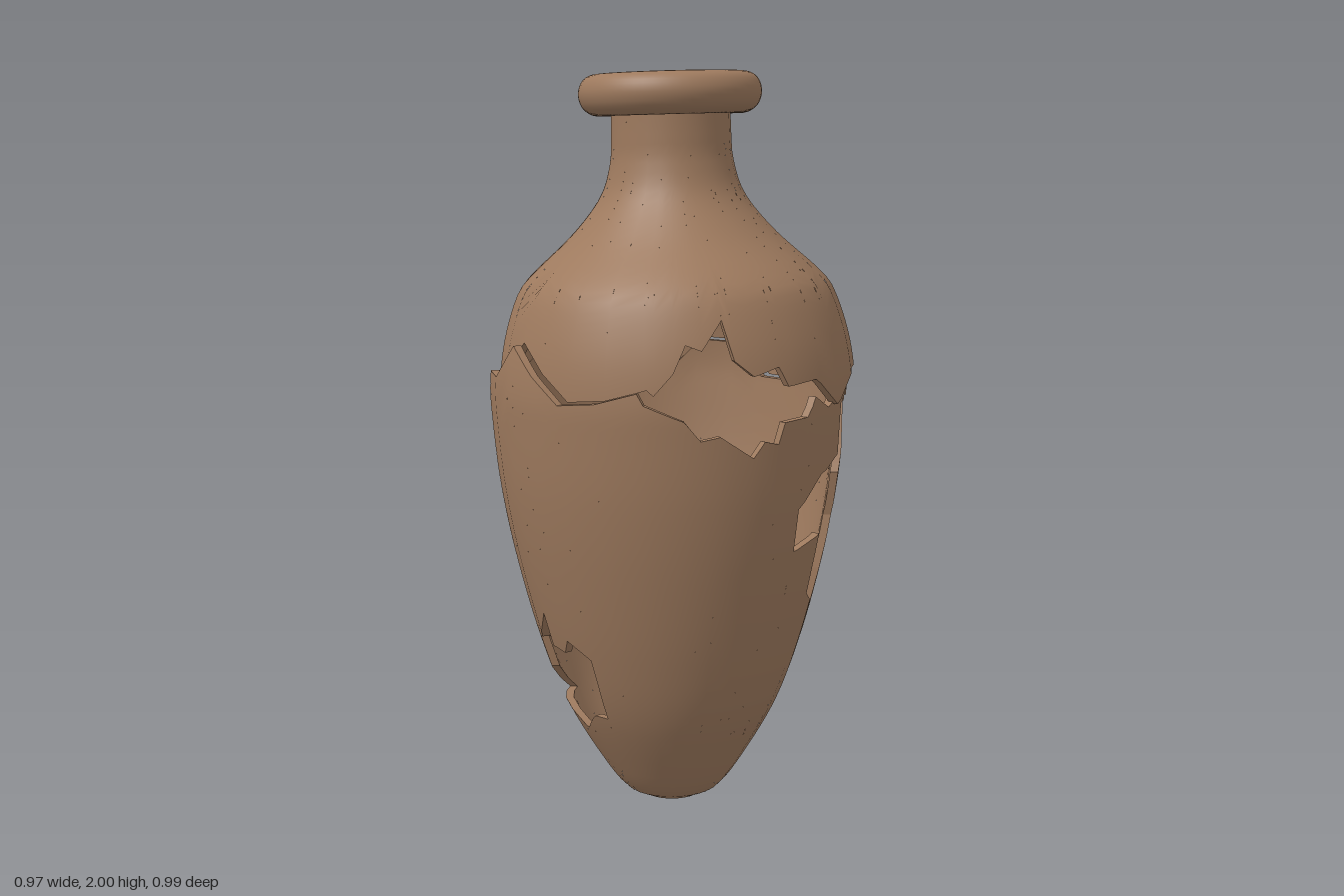
import * as THREE from 'three';

const RAD = Math.PI / 180, SEAM = 170, WALL = 0.022, FACET = 12;

// Outer profile of the jar as radius by height
const profile = new THREE.SplineCurve([
  [0.08, 0], [0.13, 0.025], [0.19, 0.1], [0.295, 0.28], [0.365, 0.47], [0.425, 0.7], [0.462, 0.9],
  [0.48, 1.08], [0.483, 1.18], [0.467, 1.295], [0.43, 1.41], [0.39, 1.465], [0.275, 1.57],
  [0.195, 1.67], [0.166, 1.76], [0.161, 1.83], [0.16, 1.91],
].map(([r, y]) => new THREE.Vector2(r, y))).getPoints(160);

function radius(y) {
  let i = 1;
  while (i < profile.length - 1 && profile[i].y < y) i++;
  const p = profile[i - 1], q = profile[i];
  const t = THREE.MathUtils.clamp((y - p.y) / (q.y - p.y), 0, 1);
  return p.x + (q.x - p.x) * t;
}

// Point and normal of the wall at angle a (degrees, 0 = front, 90 = +x)
function wallPoint(a, y, inner) {
  const d = a - FACET * Math.round(a / FACET);
  const r = (radius(y) - (inner ? WALL : 0)) * Math.cos(FACET / 2 * RAD) / Math.cos(d * RAD);
  return new THREE.Vector3(r * Math.sin(a * RAD), inner ? Math.max(y, 0.025) : y, r * Math.cos(a * RAD));
}
function wallNormal(a, y, inner) {
  const lo = Math.max(0, y - 0.015), hi = Math.min(1.91, y + 0.015);
  const slope = (radius(hi) - radius(lo)) / (hi - lo);
  const n = new THREE.Vector3(Math.sin(a * RAD), -slope, Math.cos(a * RAD)).normalize();
  return inner ? n.negate() : n;
}

const wrap = (a) => (a < SEAM ? a + 360 : a);
const toEdges = (pts) => pts.slice(1).map((p, i) => [pts[i], p]);

// A closed hole outline, and a line running all the way round
const hole = (pts) => {
  const p = pts.map(([a, y]) => [wrap(a), y]);
  return toEdges([...p, p[0]]);
};
const ring = (pts, seamY, shift = () => 0) => {
  const p = pts.map(([a, y]) => [wrap(a), y]).sort((s, t) => s[0] - t[0]);
  const all = [[SEAM, seamY], ...p, [SEAM + 360, seamY]];
  return toEdges(all.map(([a, y]) => [a, y + shift(a)]));
};

// Thick wall over the region enclosed by the edges, cut into upright slices
function shell(edges) {
  const pos = [], nor = [];
  const tri = (p, n) => {
    for (let i = 0; i < 3; i++) { pos.push(...p[i].toArray()); nor.push(...n[i].toArray()); }
  };
  const quad = (p, n) => {
    tri([p[0], p[1], p[2]], [n[0], n[1], n[2]]);
    tri([p[0], p[2], p[3]], [n[0], n[2], n[3]]);
  };
  const flatQuad = (p) => {
    const n = p[2].clone().sub(p[0]).cross(p[3].clone().sub(p[1])).normalize();
    quad(p, [n, n, n, n]);
  };
  let cuts = edges.flatMap(([p, q]) => [p[0], q[0]]);
  for (let a = SEAM + 4; a < SEAM + 360; a += FACET) cuts.push(a); // facet corners
  cuts = cuts.sort((s, t) => s - t).filter((a, i, list) => i === 0 || a - list[i - 1] > 1e-4);

  for (let i = 0; i < cuts.length - 1; i++) {
    const a = cuts[i], b = cuts[i + 1], mid = (a + b) / 2;
    const spans = edges.filter(([p, q]) => (p[0] - mid) * (q[0] - mid) < 0).map(([p, q]) => {
      const at = (t) => p[1] + (q[1] - p[1]) * (t - p[0]) / (q[0] - p[0]);
      return [at(a), at(b)];
    }).sort((s, t) => s[0] + s[1] - t[0] - t[1]);
    for (let k = 0; k + 1 < spans.length; k += 2) {
      const lo = spans[k], hi = spans[k + 1];
      const rows = Math.max(1, Math.ceil((hi[0] + hi[1] - lo[0] - lo[1]) / 2 / 0.025));
      for (let r = 0; r < rows; r++) {
        const y = (side, f) => lo[side] + (hi[side] - lo[side]) * f / rows;
        const corners = [[a, y(0, r)], [b, y(1, r)], [b, y(1, r + 1)], [a, y(0, r + 1)]];
        for (const inner of [false, true]) {
          const c = inner ? [...corners].reverse() : corners;
          quad(c.map((v) => wallPoint(...v, inner)), c.map((v) => wallNormal(...v, inner)));
        }
      }
      // Broken faces below and above
      flatQuad([wallPoint(a, lo[0], true), wallPoint(b, lo[1], true), wallPoint(b, lo[1]), wallPoint(a, lo[0])]);
      flatQuad([wallPoint(a, hi[0]), wallPoint(b, hi[1]), wallPoint(b, hi[1], true), wallPoint(a, hi[0], true)]);
    }
  }
  const g = new THREE.BufferGeometry();
  g.setAttribute('position', new THREE.Float32BufferAttribute(pos, 3));
  g.setAttribute('normal', new THREE.Float32BufferAttribute(nor, 3));
  return g;
}

export function createModel() {
  const clay = new THREE.MeshStandardMaterial({ color: 0x9e7a5e });
  clay.name = 'clay';
  const model = new THREE.Group();
  model.name = 'brokenJar';
  const add = (parent, name, geometry) => {
    const mesh = new THREE.Mesh(geometry, clay);
    mesh.name = name;
    parent.add(mesh);
    return mesh;
  };

  // Jagged break round the belly, with a wider gap on the +x side
  const crack = [
    [180, 1.135], [196, 1.14], [208, 1.237], [220, 1.243], [232, 1.15], [247, 1.29], [253, 1.24],
    [271, 1.22], [294, 1.21], [306, 1.17], [318, 1.167], [329, 1.21], [342, 1.205], [354, 1.295],
    [6, 1.225], [17, 1.16], [30, 1.17], [43, 1.2], [112, 1.135], [129, 1.215], [155, 1.215],
  ];
  const gapTop = [[45, 1.185], [51, 1.24], [55, 1.31], [60, 1.295], [67, 1.37], [70, 1.27],
    [76, 1.23], [85, 1.25], [88, 1.2], [100, 1.21]];
  const gapBottom = [[45, 1.17], [57, 1.13], [62, 1.08], [68, 1.09], [79, 1.03], [83, 1.07],
    [88, 1.06], [90, 1.115], [100, 1.12], [104, 1.17]];

  // Missing shards in the lower body
  const sideHole = hole([[124, 1.125], [130, 1.13], [135, 1.185], [138, 1.13], [146, 1.125], [135.3, 0.92],
    [139, 0.795], [136.5, 0.65], [135, 0.47], [128, 0.57], [118, 0.61], [117, 0.78], [100, 0.755],
    [99.5, 0.87], [111, 0.95], [125, 0.985]]);
  const backHole = hole([[244, 0.9], [256, 0.893], [258, 0.755], [249, 0.71], [256.5, 0.588], [262, 0.49],
    [258.5, 0.32], [252, 0.416], [222, 0.484], [242, 0.61], [232, 0.67], [234, 0.75], [243, 0.81]]);
  const frontHole = hole([[-7.5, 0.57], [-7, 0.48], [1.5, 0.47], [5.7, 0.51], [17, 0.467], [17.7, 0.29],
    [9, 0.29], [-4, 0.235], [-24, 0.285], [-50, 0.285], [-29, 0.38], [-28, 0.47], [-21, 0.48]]);

  // Lower body
  const lower = new THREE.Group();
  lower.name = 'lowerBody';
  lower.rotation.x = 0.013;
  model.add(lower);
  add(lower, 'lowerWall', shell([
    ...ring([], 0),
    ...ring([...crack, ...gapBottom], 1.167, (a) => -0.006 * (1 - Math.cos(a * RAD))),
    ...sideHole, ...backHole, ...frontHole,
  ]));
  const base = add(lower, 'base', new THREE.CircleGeometry(0.08, 30, 6 * RAD));
  base.rotation.x = Math.PI / 2;
  const floor = add(lower, 'floor', new THREE.CircleGeometry(0.075, 30));
  floor.rotation.x = -Math.PI / 2;
  floor.position.y = 0.026;

  // Upper body, resting slightly tilted on the lower one
  const upper = new THREE.Group();
  upper.name = 'upperBody';
  upper.rotation.x = 0.033;
  upper.position.z = -0.055;
  model.add(upper);
  add(upper, 'upperWall', shell([
    ...ring([...crack, ...gapTop], 1.167, (a) => 0.016 * Math.cos(a * RAD)),
    ...ring([], 1.905),
  ]));

  // Rolled rim and inner lip
  const turn = (pts) => new THREE.LatheGeometry(
    new THREE.SplineCurve(pts.map((p) => new THREE.Vector2(...p))).getPoints(20), 60, 6 * RAD);
  add(upper, 'rim', turn([[0.156, 1.887], [0.2, 1.883], [0.233, 1.903], [0.245, 1.94], [0.234, 1.974],
    [0.21, 1.99], [0.177, 1.993]]));
  add(upper, 'innerLip', turn([[0.177, 1.993], [0.153, 1.98], [0.141, 1.95], [0.137, 1.89]]));

  return model;
}
